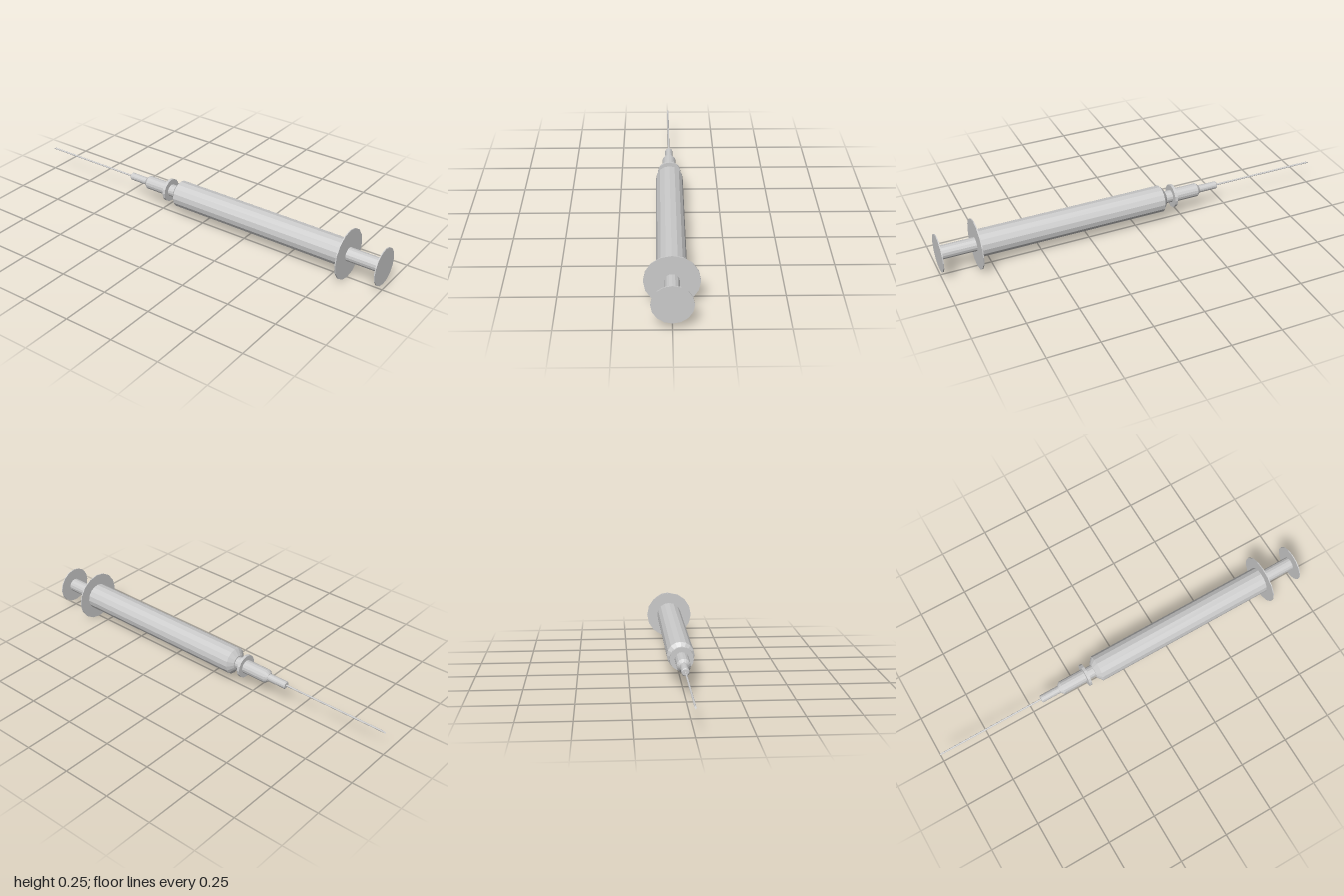
import * as THREE from 'three';

const AXIS_Y = 0.125; // height of the long axis

export function createModel() {
  const group = new THREE.Group();
  const material = new THREE.MeshStandardMaterial({ color: 0xcccccc, flatShading: true });

  // Closed turned part along z; profile is [radius, z] from the back (-z) to the front (+z)
  function turned(name, profile, sides = 16) {
    const points = [
      [0, profile[0][1]], ...profile, [0, profile[profile.length - 1][1]],
    ].map(([r, z]) => new THREE.Vector2(r, z));
    const geometry = new THREE.LatheGeometry(points, sides);
    geometry.rotateX(Math.PI / 2);
    const mesh = new THREE.Mesh(geometry, material);
    mesh.name = name;
    mesh.position.y = AXIS_Y;
    group.add(mesh);
    return mesh;
  }

  // Plunger
  turned('plungerThumbDisc', [[0.092, 0.995], [0.092, 1]]);
  turned('plungerRod', [[0.034, 0.8], [0.034, 0.996]]);

  // Barrel with finger flange, chamfered shoulder and neck
  turned('fingerFlange', [[0.124, 0.815], [0.124, 0.82]]);
  turned('barrel', [[0.031, -0.2], [0.031, -0.157], [0.037, -0.157], [0.067, -0.134], [0.067, 0.817]]);

  // Needle hub: collar, body and narrow tip
  turned('hubCollar', [[0.058, -0.207], [0.058, -0.193]]);
  turned('hubBody', [[0.02, -0.349], [0.034, -0.333], [0.034, -0.2]]);
  turned('hubTip', [[0.015, -0.449], [0.019, -0.445], [0.019, -0.34]]);

  // Needle, its end cut on a slant so the underside runs longest
  const radius = 0.0045;
  const needle = turned('needle', [[radius, -1], [radius, -0.44]], 8);
  const p = needle.geometry.attributes.position;
  for (let i = 0; i < p.count; i++) {
    if (p.getZ(i) < -0.9) p.setZ(i, -1 + 0.02 * (p.getY(i) + radius) / (2 * radius));
  }
  needle.geometry.computeVertexNormals();

  return group;
}
